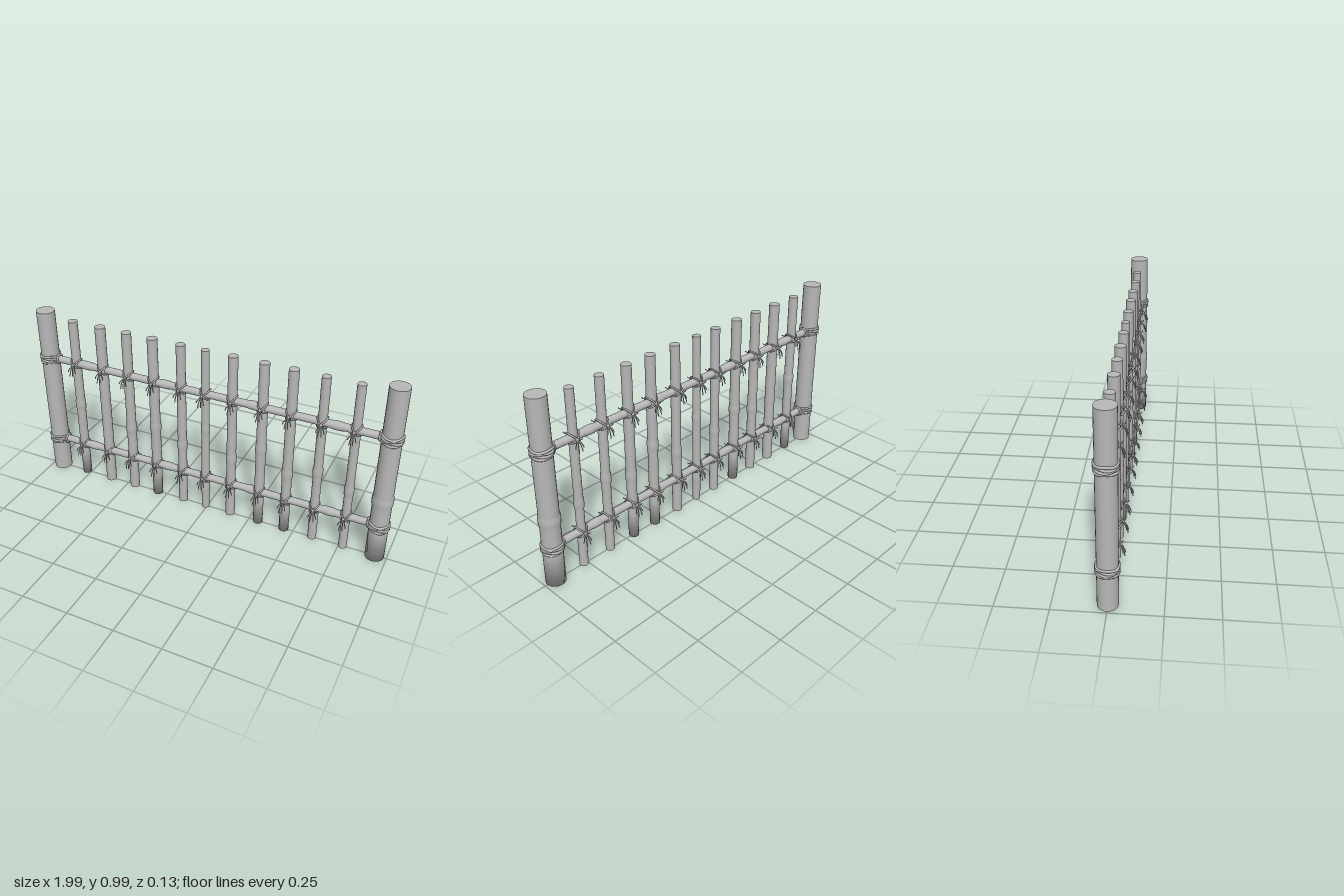
import * as THREE from 'three';

const bamboo = new THREE.MeshStandardMaterial({ color: 0xb8b8b8 });
bamboo.name = 'bambooGrey';

const add = (parent, name, geometry, x = 0, y = 0, z = 0) => {
  const mesh = new THREE.Mesh(geometry, bamboo);
  mesh.name = name;
  mesh.position.set(x, y, z);
  parent.add(mesh);
  return mesh;
};

// Bamboo pole with swollen nodes; repeated points keep the rims sharp
function pole(radius, height, nodes, bulge, sides, softFoot = 0) {
  const pts = [[0, 0], [radius, 0], [radius, 0]];
  if (softFoot) pts.push([radius, softFoot]);
  for (const n of nodes) {
    pts.push([radius, n - 0.035], [radius + bulge, n - 0.02], [radius + bulge * 1.2, n],
      [radius + bulge, n + 0.02], [radius, n + 0.035]);
  }
  pts.push([radius, height], [radius, height], [0, height]);
  const geo = new THREE.LatheGeometry(pts.map(p => new THREE.Vector2(...p)), sides);
  // Worn foot: normals roll under towards the cut end
  if (softFoot) {
    const n = geo.attributes.normal;
    for (let i = 2; i < n.count; i += pts.length) {
      const v = new THREE.Vector3(n.getX(i), -1, n.getZ(i)).normalize();
      n.setXYZ(i, v.x, v.y, v.z);
    }
  }
  return geo;
}

// Slightly wavy rope ring lying around a vertical pole
function coil(radius, thickness, phase) {
  const pts = [];
  for (let i = 0; i < 16; i++) {
    const a = i / 16 * Math.PI * 2;
    pts.push(new THREE.Vector3(Math.cos(a) * radius, 0.003 * Math.sin(a * 3 + phase), Math.sin(a) * radius));
  }
  return new THREE.TubeGeometry(new THREE.CatmullRomCurve3(pts, true), 40, thickness, 7, true);
}

// Loose rope end
function strand(dx, dy, dz) {
  const curve = new THREE.QuadraticBezierCurve3(
    new THREE.Vector3(0, 0, 0),
    new THREE.Vector3(dx * 0.7, dy * 0.2, dz * 0.8),
    new THREE.Vector3(dx, dy, dz));
  return new THREE.TubeGeometry(curve, 5, 0.0026, 5);
}

const loopGeo = new THREE.TorusGeometry(0.034, 0.0045, 7, 28);
const knotGeo = new THREE.SphereGeometry(0.008, 10, 8);
const strandGeos = [[-0.022, -0.03, 0.018], [-0.009, -0.052, 0.024], [0.009, -0.046, 0.026], [0.021, -0.034, 0.016],
  [0.02, 0.012, 0.014]].map(s => strand(...s));

// Crossed lashing with a knot and loose ends on both faces
function lashing(x, y, index) {
  const g = new THREE.Group();
  g.name = 'lashing';
  g.position.set(x, y, 0);
  for (const tilt of [-1, 1]) {
    const loop = add(g, 'ropeLoop', loopGeo);
    loop.rotation.set(Math.PI / 2, tilt * Math.PI / 4, 0);
  }
  for (const turn of [0, Math.PI]) {
    const tassel = new THREE.Group();
    tassel.name = 'tassel';
    tassel.rotation.y = turn + 0.12 * Math.sin(index * 2.3);
    add(tassel, 'knot', knotGeo, 0, 0, 0.036);
    for (const s of strandGeos) add(tassel, 'ropeEnd', s, 0, -0.004, 0.037);
    g.add(tassel);
  }
  return g;
}

export function createModel() {
  const fence = new THREE.Group();
  fence.name = 'bambooFence';
  const railHeights = [0.2, 0.713];

  // End posts
  add(fence, 'rightPost', pole(0.049, 0.987, [], 0.004, 28), -0.942);
  add(fence, 'leftPost', pole(0.049, 0.987, [0.355], 0.004, 28, 0.17), 0.938);

  // Upright slats: x, radius, node heights, worn foot length
  const slats = [
    [-0.775, 0.025, [0.46], 0.15], [-0.61, 0.028, [], 0], [-0.455, 0.026, [0.385], 0],
    [-0.305, 0.027, [0.44], 0.15], [-0.146, 0.024, [0.365], 0], [-0.01, 0.021, [0.13, 0.5], 0],
    [0.138, 0.025, [0.36], 0], [0.3, 0.026, [0.47], 0.14], [0.447, 0.026, [0.36], 0.14],
    [0.604, 0.023, [0.42], 0], [0.77, 0.022, [0.36], 0],
  ];
  slats.forEach(([x, r, nodes, foot], i) => {
    add(fence, 'slat', pole(r, 0.958, nodes, 0.003, 18, foot), x);
    for (const y of railHeights) fence.add(lashing(x, y, i));
  });

  // Cross rails and the ties holding them to the posts
  for (const y of railHeights) {
    const rail = add(fence, 'rail', pole(0.02, 1.84, [0.21, 0.68, 1.18, 1.6], 0.003, 16), -0.92, y - 0.002);
    rail.rotation.z = -Math.PI / 2;
    for (const side of [-1, 1]) {
      const x = side < 0 ? -0.942 : 0.938;
      [-0.015, -0.004, 0.007, 0.018].forEach((dy, i) =>
        add(fence, 'postRope', coil(0.05, 0.0065, i * 1.9 + side), x, y + dy));
      const collar = add(fence, 'railCollar', new THREE.TorusGeometry(0.024, 0.006, 8, 24), side * 0.885, y);
      collar.rotation.y = Math.PI / 2;
    }
  }
  return fence;
}
